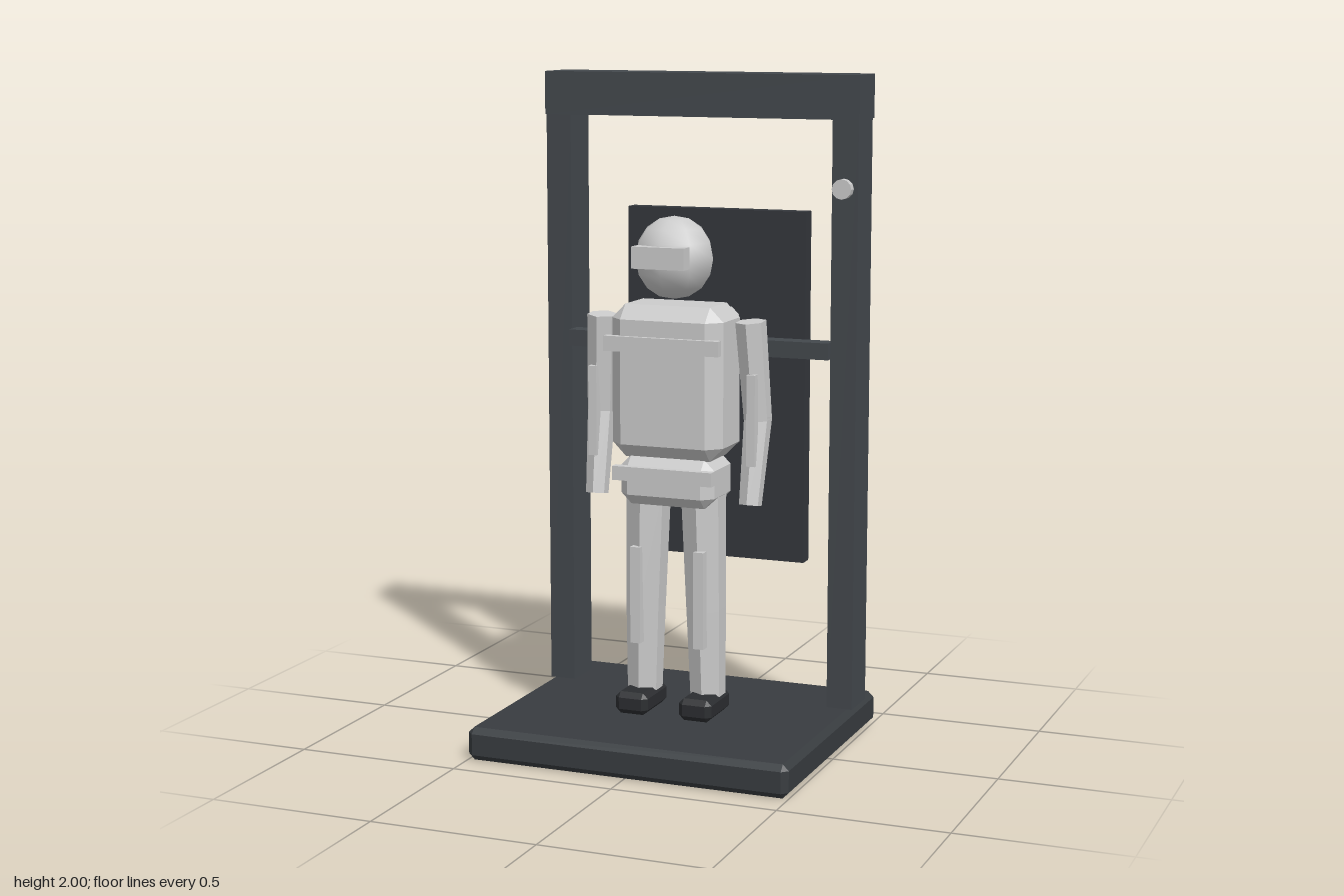
import * as THREE from 'three';
import { ConvexGeometry } from 'three/addons/geometries/ConvexGeometry.js';

const mat = (color) => new THREE.MeshStandardMaterial({ color, flatShading: true });

// Box given by its lower and upper corners
function boxGeo([x0, y0, z0], [x1, y1, z1]) {
  return new THREE.BoxGeometry(x1 - x0, y1 - y0, z1 - z0)
    .translate((x0 + x1) / 2, (y0 + y1) / 2, (z0 + z1) / 2);
}

// Box with every edge cut by a single chamfer c
function chamferGeo(lo, hi, c) {
  const mid = lo.map((v, i) => (v + hi[i]) / 2);
  const half = lo.map((v, i) => (hi[i] - v) / 2);
  const points = [];
  for (const sx of [-1, 1]) for (const sy of [-1, 1]) for (const sz of [-1, 1]) {
    const s = [sx, sy, sz];
    for (let axis = 0; axis < 3; axis++) {
      const p = s.map((v, i) => mid[i] + v * (half[i] - (i === axis ? 0 : c)));
      points.push(new THREE.Vector3(...p));
    }
  }
  return new ConvexGeometry(points);
}

// Six-sided tapered limb running from a (top) to b (bottom)
function limbGeo(a, b, ra, rb) {
  const top = new THREE.Vector3(...a), bottom = new THREE.Vector3(...b);
  const dir = top.clone().sub(bottom);
  const geo = new THREE.CylinderGeometry(ra, rb, dir.length(), 6);
  geo.applyQuaternion(new THREE.Quaternion().setFromUnitVectors(
    new THREE.Vector3(0, 1, 0), dir.normalize()));
  const mid = top.add(bottom).multiplyScalar(0.5);
  return geo.translate(mid.x, mid.y, mid.z);
}

export function createModel() {
  const model = new THREE.Group();
  model.name = 'figureInStand';
  const stand = new THREE.Group();
  stand.name = 'stand';
  const figure = new THREE.Group();
  figure.name = 'figure';
  model.add(stand, figure);

  const grey = mat(0xcccccc);
  const frame = mat(0x43484d);
  const base = mat(0x383c40);
  const panel = mat(0x34373c);
  const boot = mat(0x2b2d30);

  const add = (parent, name, geo, material = grey) => {
    const mesh = new THREE.Mesh(geo, material);
    mesh.name = name;
    parent.add(mesh);
    return mesh;
  };

  // Stand: base, lintel, rear panel and indicator lamp
  add(stand, 'base', chamferGeo([-0.5, 0, -0.415], [0.5, 0.1, 0.415], 0.018), base);
  add(stand, 'lintel', boxGeo([-0.5, 1.87, -0.325], [0.5, 2, -0.177]), frame);
  add(stand, 'backPanel', boxGeo([-0.29, 0.505, -0.375], [0.29, 1.585, -0.327]), panel);
  add(stand, 'indicatorLamp', new THREE.CylinderGeometry(0.03, 0.03, 0.026, 12)
    .rotateX(Math.PI / 2).translate(0.455, 1.67, -0.17));

  // Body, head and straps
  add(figure, 'torso', chamferGeo([-0.175, 0.88, -0.11], [0.175, 1.335, 0.11], 0.042));
  add(figure, 'pelvis', chamferGeo([-0.148, 0.738, -0.098], [0.148, 0.885, 0.1], 0.032));
  add(figure, 'backpack', chamferGeo([-0.135, 0.965, -0.188], [0.135, 1.31, -0.103], 0.022));
  add(figure, 'chestStrap', boxGeo([-0.18, 1.2, 0.1], [0.18, 1.245, 0.125]));
  add(figure, 'belt', boxGeo([-0.157, 0.815, 0.09], [0.157, 0.857, 0.117]));
  const head = add(figure, 'head', new THREE.SphereGeometry(0.122, 8, 8),
    new THREE.MeshStandardMaterial({ color: 0xcccccc }));
  head.position.set(0, 1.471, 0.014);
  add(figure, 'visor', boxGeo([-0.082, 1.448, 0.1], [0.082, 1.512, 0.146]));

  // Mirrored parts: s = +1 is the left side
  for (const s of [1, -1]) {
    const side = s > 0 ? 'left' : 'right';
    const pairBox = (x0, x1, y0, y1, z0, z1) =>
      boxGeo([Math.min(s * x0, s * x1), y0, z0], [Math.max(s * x0, s * x1), y1, z1]);

    // Uprights and the holding arms on them
    add(stand, side + 'Post', pairBox(0.418, 0.498, 0.1, 1.87, -0.315, -0.182), frame);
    add(stand, side + 'HoldingArm', pairBox(0.205, 0.418, 1.165, 1.215, -0.22, -0.16), frame);

    // Arm with plate
    add(figure, side + 'UpperArm',
      limbGeo([s * 0.235, 1.292, 0.002], [s * 0.25, 1.0, -0.022], 0.046, 0.042));
    add(figure, side + 'Forearm',
      limbGeo([s * 0.25, 1.01, -0.024], [s * 0.245, 0.752, 0.026], 0.042, 0.034));
    add(figure, side + 'ArmPlate', pairBox(0.238, 0.264, 0.87, 1.14, 0.015, 0.045));

    // Leg with plate and boot
    add(figure, side + 'Thigh',
      limbGeo([s * 0.088, 0.78, 0], [s * 0.097, 0.42, 0], 0.068, 0.06));
    add(figure, side + 'Shin',
      limbGeo([s * 0.097, 0.425, 0], [s * 0.102, 0.15, -0.003], 0.06, 0.053));
    add(figure, side + 'LegPlate', pairBox(0.085, 0.117, 0.313, 0.607, 0.045, 0.077));
    const shoe = add(figure, side + 'Boot',
      chamferGeo([-0.052, 0.1, -0.062], [0.052, 0.167, 0.118], 0.016), boot);
    shoe.position.x = s * 0.102;
  }
  return model;
}
